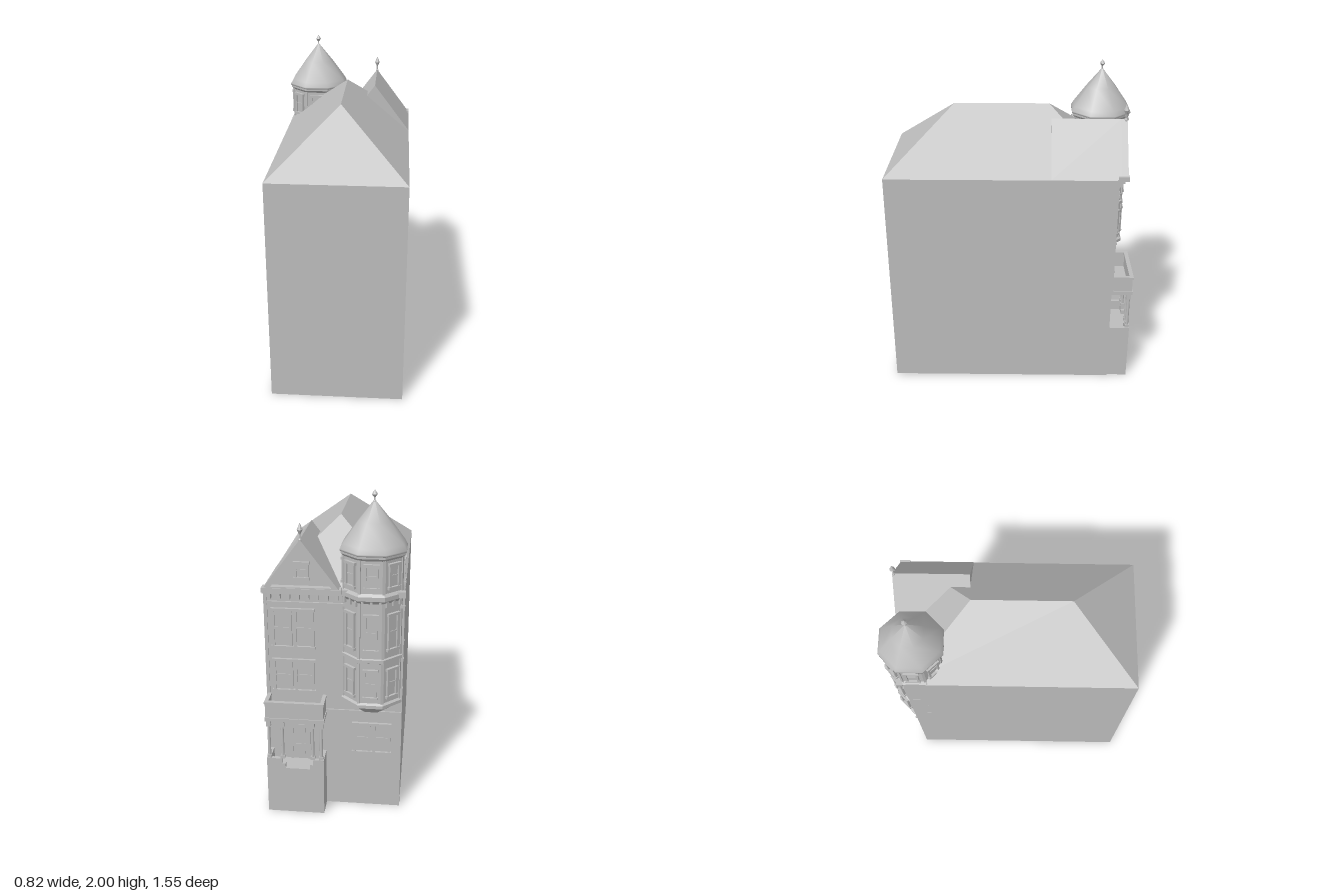
import * as THREE from 'three';

const stone = new THREE.MeshStandardMaterial({ color: 0xbcbcbc, side: THREE.DoubleSide });
stone.name = 'grey stone';

const BACK = -0.64; // street facade plane

function add(parent, name, geo) {
  const m = new THREE.Mesh(geo, stone);
  m.name = name;
  parent.add(m);
  return m;
}

// box given by its min and max corners, optionally without a floor
function box(parent, name, x0, x1, y0, y1, z0, z1, open = false) {
  const g = new THREE.BoxGeometry(x1 - x0, y1 - y0, z1 - z0);
  if (open) {
    const idx = Array.from(g.index.array);
    idx.splice(18, 6);
    g.setIndex(idx);
    g.clearGroups();
  }
  g.translate((x0 + x1) / 2, (y0 + y1) / 2, (z0 + z1) / 2);
  return add(parent, name, g);
}

function flat(g) {
  const f = g.toNonIndexed();
  f.computeVertexNormals();
  return f;
}

// flat polygons, each fanned from its first corner
function polygons(faces) {
  const pos = [];
  for (const f of faces)
    for (let i = 1; i < f.length - 1; i++) pos.push(...f[0], ...f[i], ...f[i + 1]);
  const g = new THREE.BufferGeometry();
  g.setAttribute('position', new THREE.Float32BufferAttribute(pos, 3));
  g.computeVertexNormals();
  return g;
}

// eight-sided solid from [apothem, y] points, flats on the axes
function octagon(points) {
  const k = 1 / Math.cos(Math.PI / 8);
  const g = new THREE.LatheGeometry(points.map(([a, y]) => new THREE.Vector2(a * k, y)), 8);
  g.rotateY(Math.PI / 8);
  return g;
}

// sash window facing +z, centred on x = 0, standing on y = 0
function sashWindow(w, h, t = 0.012) {
  const g = new THREE.Group();
  g.name = 'sashWindow';
  box(g, 'pane', -w / 2, w / 2, 0, h, 0, 0.003);
  for (const s of [-1, 1]) {
    const x = s * (w / 2 - t / 2);
    box(g, 'jamb', x - t / 2, x + t / 2, 0, h, 0, 0.014);
  }
  box(g, 'sill', -w / 2 - 0.006, w / 2 + 0.006, -0.008, 0.008, 0, 0.018);
  box(g, 'head', -w / 2 - 0.006, w / 2 + 0.006, h - 0.012, h + 0.004, 0, 0.018);
  box(g, 'meetingRail', -w / 2, w / 2, h * 0.5 - 0.004, h * 0.5 + 0.004, 0, 0.008);
  return g;
}

function windowPair(parent, x0, x1, y0, y1) {
  const w = (x1 - x0) / 2 - 0.006;
  for (const x of [x0 + w / 2, x1 - w / 2]) {
    const win = sashWindow(w, y1 - y0, 0.016);
    win.position.set(x, y0, BACK);
    win.rotation.y = Math.PI;
    parent.add(win);
  }
}

function finial(parent, x, y, z, h) {
  const p = [[0.009, 0], [0.009, 0.12], [0.004, 0.2], [0.004, 0.4], [0.016, 0.64], [0, 1]];
  const m = add(parent, 'finial', flat(octagon(p.map(([r, t]) => [r, t * h]))));
  m.position.set(x, y, z);
}

function buildHouse(root) {
  const g = new THREE.Group();
  g.name = 'house';
  const X = 0.41, F = 0.775, E = 1.425, R = 1.775;
  box(g, 'walls', -X, X, 0, E, BACK, F, true);
  // hipped roof
  const a = [-X, E, F], b = [X, E, F], c = [X, E, BACK], d = [-X, E, BACK];
  const r0 = [0, R, 0.365], r1 = [0, R, -0.23];
  add(g, 'hipRoof', polygons([[a, b, r0], [b, c, r1, r0], [c, d, r1], [d, a, r0, r1]]));
  // facade trim
  box(g, 'baseBand', -X, X, 0.65, 0.665, BACK - 0.01, BACK);
  box(g, 'frieze', -X, X, 1.335, 1.35, BACK - 0.012, BACK);
  box(g, 'cornice', -0.415, X, 1.405, 1.44, BACK - 0.04, BACK);
  for (let i = 0; i < 8; i++) {
    const x = -0.02 + i * 0.056;
    box(g, 'bracket', x - 0.009, x + 0.009, 1.37, 1.405, BACK - 0.032, BACK);
  }
  box(g, 'cornerBoard', 0.39, X, 0.66, 1.405, BACK - 0.008, BACK);
  windowPair(g, -0.345, -0.115, 0.38, 0.58);
  windowPair(g, 0.115, 0.365, 0.78, 0.985);
  windowPair(g, 0.115, 0.365, 1.065, 1.305);
  root.add(g);
}

function buildGable(root) {
  const g = new THREE.Group();
  g.name = 'gable';
  const cx = 0.18, half = 0.23, y0 = 1.43, y1 = 1.735;
  const tri = (T, s, dy) => {
    const t = new T();
    t.moveTo(cx - half * s, y0 + dy);
    t.lineTo(cx + half * s, y0 + dy);
    t.lineTo(cx, y0 + dy + (y1 - y0) * s);
    t.closePath();
    return t;
  };
  const prism = (shape, z0, z1) => {
    const e = new THREE.ExtrudeGeometry(shape, { depth: z1 - z0, bevelEnabled: false });
    return e.translate(0, 0, z0);
  };
  add(g, 'gableRoof', prism(tri(THREE.Shape, 1, 0), -0.66, -0.24));
  // raking trim around the pediment
  const frame = tri(THREE.Shape, 1, 0);
  frame.holes.push(tri(THREE.Path, 0.76, 0.025));
  add(g, 'bargeBoard', prism(frame, -0.7, -0.66));
  box(g, 'pedimentBase', cx - half, cx + half, 1.42, 1.448, -0.705, BACK);
  const win = sashWindow(0.08, 0.095, 0.014);
  win.position.set(cx, 1.5, -0.66);
  win.rotation.y = Math.PI;
  g.add(win);
  finial(g, cx, 1.72, -0.69, 0.11);
  root.add(g);
}

function buildTurret(root) {
  const g = new THREE.Group();
  g.name = 'turret';
  g.position.set(-0.225, 0, -0.572);
  const wall = 0.168;
  add(g, 'turretWalls', flat(octagon([
    [0.09, 0.665], [0.155, 0.72], [0.181, 0.735], [0.181, 0.755], [wall, 0.765],
    [wall, 1.02], [0.178, 1.025], [0.178, 1.045], [wall, 1.05],
    [wall, 1.385], [0.184, 1.405], [0.184, 1.43], [wall, 1.445],
    [wall, 1.635], [0.182, 1.65], [0.182, 1.67]])));
  // smooth flared spire
  add(g, 'turretRoof', octagon([
    [0.178, 1.66], [0.188, 1.665], [0.188, 1.675], [0.172, 1.705], [0.09, 1.825], [0, 1.945]]));
  for (let i = 0; i < 8; i++) {
    const side = new THREE.Group();
    side.name = 'turretSide';
    side.rotation.y = i * Math.PI / 4;
    const outward = Math.cos(side.rotation.y) < 0.1;
    const rows = outward ? [[0.8, 0.18], [1.1, 0.22], [1.475, 0.14]] : [[1.475, 0.14]];
    for (const [y, h] of rows) {
      const win = sashWindow(0.078, h);
      win.position.set(0, y, wall);
      side.add(win);
    }
    if (outward) for (const x of [-0.05, 0, 0.05])
      box(side, 'bracket', x - 0.007, x + 0.007, 1.365, 1.4, wall, wall + 0.013);
    // corner post on the edge between two sides
    const post = new THREE.Group();
    post.name = 'cornerPost';
    post.rotation.y = Math.PI / 8;
    const r = wall / Math.cos(Math.PI / 8);
    box(post, 'post', -0.008, 0.008, 0.76, 1.64, r - 0.008, r + 0.003);
    side.add(post);
    g.add(side);
  }
  finial(g, 0, 1.925, 0, 0.075);
  root.add(g);
}

function buildPorch(root) {
  const g = new THREE.Group();
  g.name = 'porch';
  const x0 = 0.05, x1 = 0.4, z0 = -0.77, t = 0.022;
  box(g, 'porchBase', x0, x1, 0, 0.31, z0, BACK, true);
  // low walls with a stepped entrance gap
  box(g, 'lowWall', x0, 0.115, 0.31, 0.375, z0, z0 + t);
  box(g, 'lowWall', 0.305, x1, 0.31, 0.375, z0, z0 + t);
  box(g, 'wallStep', 0.115, 0.135, 0.31, 0.34, z0, z0 + t);
  box(g, 'wallStep', 0.285, 0.305, 0.31, 0.34, z0, z0 + t);
  box(g, 'sideWall', x0, x0 + t, 0.31, 0.375, z0 + t, BACK);
  box(g, 'sideWall', x1 - t, x1, 0.31, 0.375, z0 + t, BACK);
  // columns
  for (const x of [0.066, 0.118, 0.302, 0.384]) {
    const c = add(g, 'column', new THREE.CylinderGeometry(0.009, 0.01, 0.255, 12));
    c.position.set(x, 0.5025, -0.755);
    box(g, 'columnFoot', x - 0.013, x + 0.013, 0.375, 0.395, -0.768, -0.742);
    box(g, 'columnHead', x - 0.013, x + 0.013, 0.59, 0.63, -0.768, -0.742);
  }
  // balcony
  box(g, 'balconyFloor', x0 - 0.004, x1 + 0.004, 0.63, 0.652, -0.776, BACK);
  box(g, 'parapetFront', x0, x1, 0.652, 0.745, z0, z0 + 0.015);
  box(g, 'railFront', x0 - 0.004, x1 + 0.004, 0.742, 0.757, -0.776, -0.75);
  for (const x of [x0, x1 - 0.015]) {
    box(g, 'parapetSide', x, x + 0.015, 0.652, 0.745, z0, BACK);
    box(g, 'railSide', x - 0.004, x + 0.019, 0.742, 0.757, -0.776, BACK);
  }
  // front door
  box(g, 'door', 0.165, 0.255, 0.31, 0.57, BACK - 0.004, BACK);
  for (const x of [0.15, 0.255])
    box(g, 'doorJamb', x, x + 0.015, 0.31, 0.585, BACK - 0.009, BACK);
  box(g, 'doorHead', 0.145, 0.275, 0.57, 0.59, BACK - 0.009, BACK);
  for (const [y, h] of [[0.345, 0.07], [0.44, 0.11]])
    box(g, 'doorPanel', 0.18, 0.24, y, y + h, BACK - 0.008, BACK - 0.004);
  root.add(g);
}

export function createModel() {
  const root = new THREE.Group();
  root.name = 'townhouse';
  buildHouse(root);
  buildGable(root);
  buildTurret(root);
  buildPorch(root);
  return root;
}
